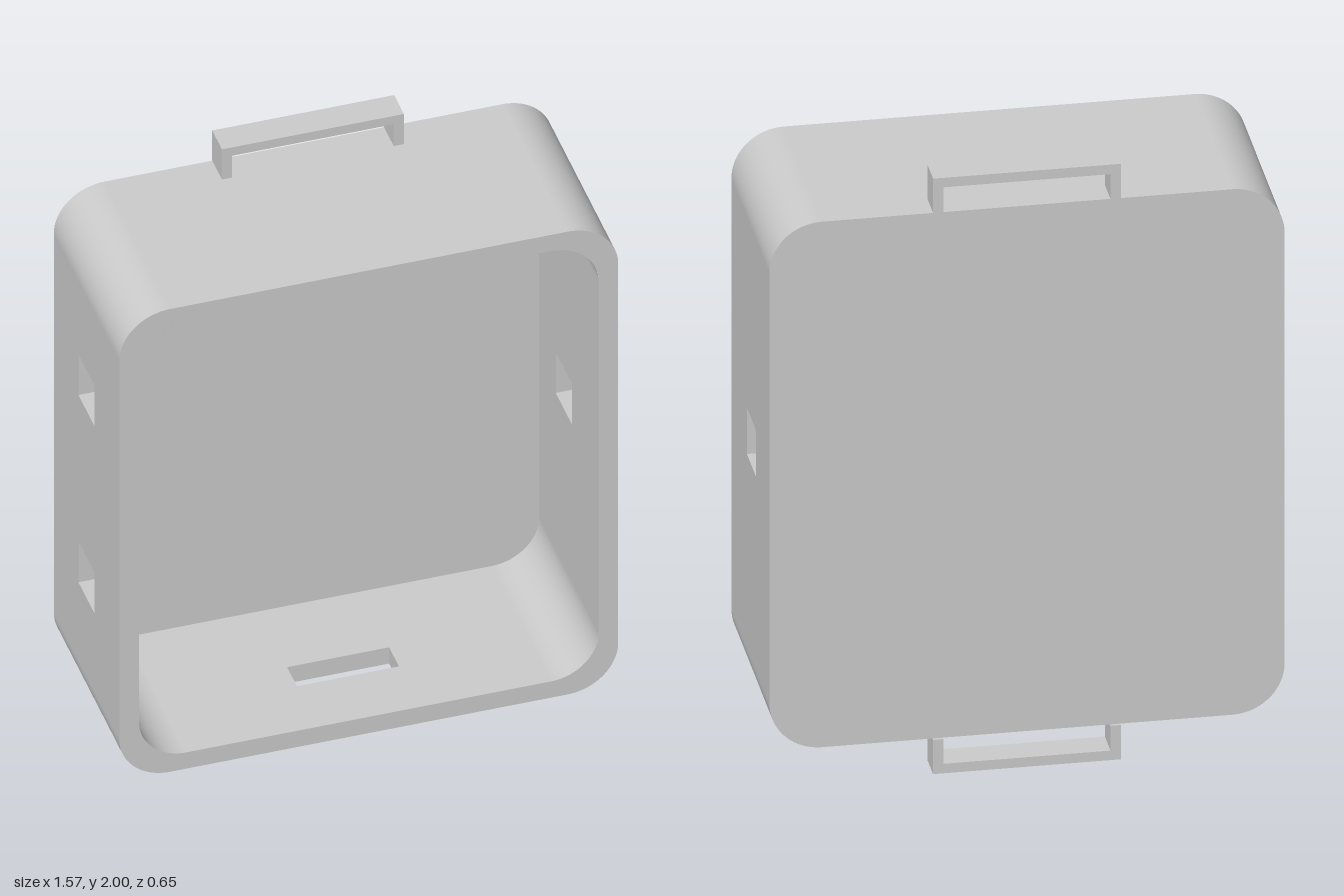
import * as THREE from 'three';

const W = 0.787, H = 0.8825, D = 0.327, T = 0.062; // half width, half height, half depth, wall thickness
const R_OUT = 0.16, R_IN = 0.15, SEG = 16;

const solid = new THREE.MeshStandardMaterial({ color: 0xcccccc });
const sheet = new THREE.MeshStandardMaterial({ color: 0xcccccc, side: THREE.DoubleSide });

function add(parent, name, geometry, material = solid) {
  const mesh = new THREE.Mesh(geometry, material);
  mesh.name = name;
  parent.add(mesh);
  return mesh;
}

function trace(path, points) {
  return path.setFromPoints(points.map(([x, y]) => new THREE.Vector2(x, y)));
}

function rectangle(path, x0, x1, y0, y1) {
  return trace(path, [[x0, y0], [x1, y0], [x1, y1], [x0, y1], [x0, y0]]);
}

function roundedRect(path, w, h, r) {
  const x = w - r, y = h - r, q = Math.PI / 2;
  path.moveTo(w, -y);
  path.lineTo(w, y);
  path.absarc(x, y, r, 0, q);
  path.absarc(-x, y, r, q, 2 * q);
  path.absarc(-x, -y, r, 2 * q, 3 * q);
  path.absarc(x, -y, r, 3 * q, 4 * q);
  return path;
}

// Four quarter-round strips joining the flat walls
function addCorners(parent, name, w, h, r, z0, z1, material) {
  [[1, -1], [1, 1], [-1, 1], [-1, -1]].forEach(([sx, sy], k) => {
    const geo = new THREE.CylinderGeometry(r, r, z1 - z0, SEG, 1, true, 0, Math.PI / 2);
    geo.rotateX(Math.PI / 2).rotateZ(k * Math.PI / 2);
    geo.translate(sx * (w - r), sy * (h - r), (z0 + z1) / 2);
    add(parent, name, geo, material);
  });
}

// Flat wall with outer face, inner face and lined cutouts; local +z points outward
// dir: +1 when the local depth axis runs to the front, -1 when it runs to the back
function addWall(parent, { name, upright, dir, half, length, rotation, holes }) {
  const wall = new THREE.Group();
  wall.name = name;
  wall.rotation.set(...rotation);
  const back = -D + T;
  const face = (len, z0, z1) => {
    const [a, b] = dir > 0 ? [z0, z1] : [-z1, -z0];
    const shape = upright
      ? rectangle(new THREE.Shape(), a, b, -len, len)
      : rectangle(new THREE.Shape(), -len, len, a, b);
    for (const [x, y, w, h] of holes) {
      shape.holes.push(rectangle(new THREE.Path(), x - w / 2, x + w / 2, y - h / 2, y + h / 2));
    }
    return new THREE.ShapeGeometry(shape);
  };
  add(wall, 'outerFace', face(length - R_OUT, -D, D)).position.z = half;
  add(wall, 'innerFace', face(length - T - R_IN, back, D), sheet).position.z = half - T;
  for (const [x, y, w, h] of holes) {
    const lining = new THREE.BoxGeometry(w, h, T);
    lining.setIndex(Array.from(lining.index.array).slice(0, 24)); // sides only
    lining.clearGroups();
    add(wall, 'cutoutLining', lining, sheet).position.set(x, y, half - T / 2);
  }
  parent.add(wall);
}

export function createModel() {
  const model = new THREE.Group();
  model.name = 'openCase';

  const body = new THREE.Group();
  body.name = 'body';
  body.position.y = 1.0025;
  model.add(body);

  // Back plate, inner floor and front rim
  const outline = () => roundedRect(new THREE.Shape(), W, H, R_OUT);
  const back = add(body, 'backPlate', new THREE.ShapeGeometry(outline(), SEG));
  back.rotation.y = Math.PI;
  back.position.z = -D;
  const inner = roundedRect(new THREE.Shape(), W - T, H - T, R_IN);
  add(body, 'innerFloor', new THREE.ShapeGeometry(inner, SEG)).position.z = -D + T;
  const rim = outline();
  rim.holes.push(roundedRect(new THREE.Path(), W - T, H - T, R_IN));
  add(body, 'frontRim', new THREE.ShapeGeometry(rim, SEG)).position.z = D;

  // Rounded corners
  addCorners(body, 'outerCorner', W, H, R_OUT, -D, D, solid);
  addCorners(body, 'innerCorner', W - T, H - T, R_IN, -D + T, D, sheet);

  // Side walls; each cutout is [x, y, width, height] on its wall
  const q = Math.PI / 2;
  const side = { upright: true, half: W, length: H };
  const level = { upright: false, half: H, length: W };
  addWall(body, { ...side, name: 'leftWall', dir: -1, rotation: [0, q, 0],
    holes: [[0.02, 0.005, 0.16, 0.156]] });
  addWall(body, { ...side, name: 'rightWall', dir: 1, rotation: [0, -q, 0],
    holes: [[0, 0.367, 0.162, 0.156], [0, -0.347, 0.162, 0.156]] });
  addWall(body, { ...level, name: 'topWall', dir: -1, rotation: [-q, 0, 0], holes: [] });
  addWall(body, { ...level, name: 'bottomWall', dir: 1, rotation: [q, 0, 0],
    holes: [[0, 0.07, 0.322, 0.098]] });

  // Strap loops above and below, flush with the back
  const a = 0.287, t = 0.032, top = 1 - 0.0025;
  const loop = trace(new THREE.Shape(), [
    [-a, H], [-a + t, H], [-a + t, top - t], [a - t, top - t],
    [a - t, H], [a, H], [a, top], [-a, top],
  ]);
  const loopGeo = new THREE.ExtrudeGeometry(loop, { depth: 0.097, bevelEnabled: false });
  add(body, 'topStrapLoop', loopGeo).position.z = -D;
  const lower = add(body, 'bottomStrapLoop', loopGeo);
  lower.rotation.z = Math.PI;
  lower.position.set(0, -0.005, -D);

  return model;
}
